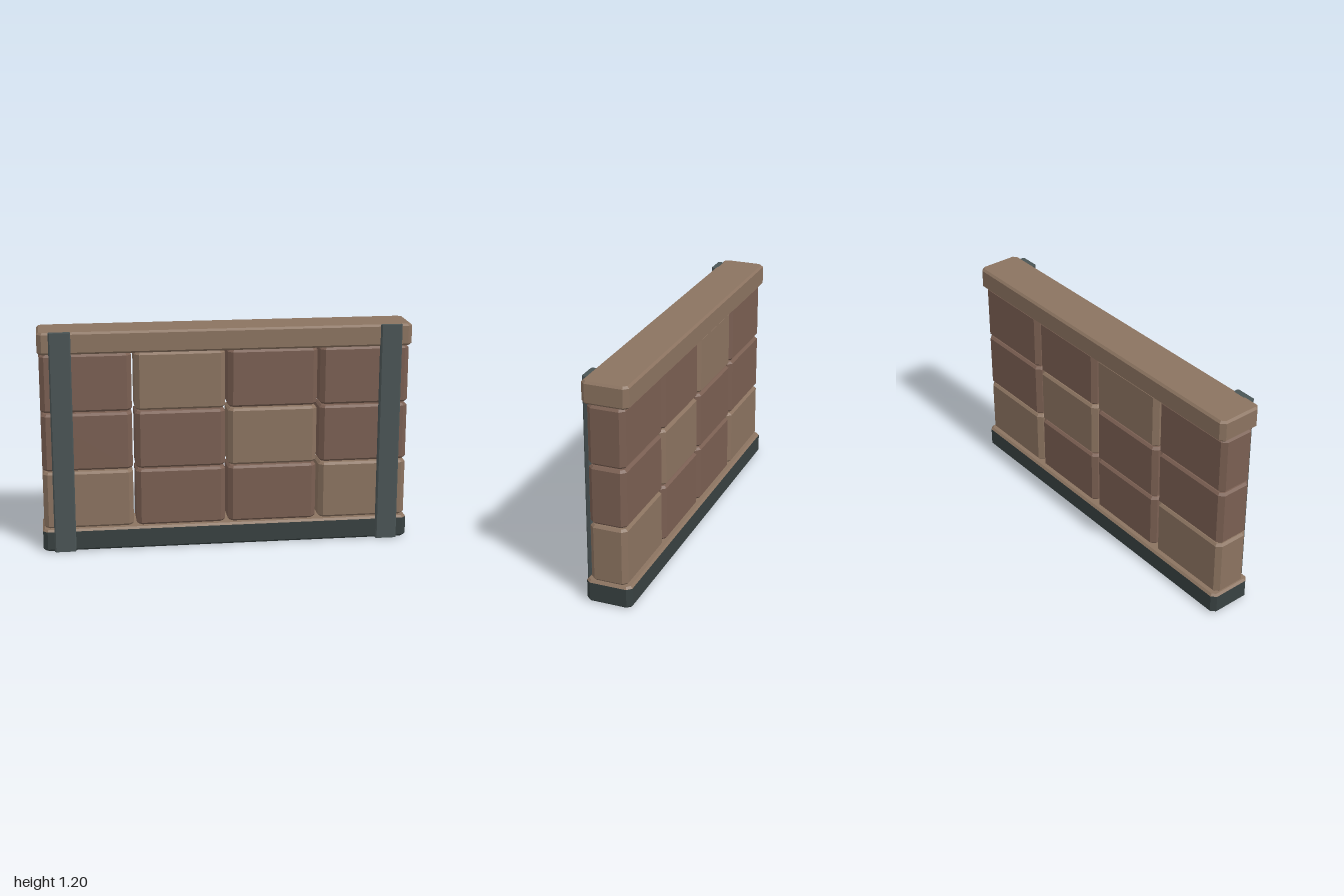
import * as THREE from 'three';

const paint = (color) => new THREE.MeshStandardMaterial({ color, flatShading: true });

// Upright slab standing on y = 0: corners cut in plan, optional bevel along top and bottom
function slab(w, h, d, cut, bevel) {
  const x = w / 2, z = d / 2;
  const plan = new THREE.Shape([
    [x, -z + cut], [x, z - cut], [x - cut, z], [-x + cut, z],
    [-x, z - cut], [-x, -z + cut], [-x + cut, -z], [x - cut, -z],
  ].map(([a, b]) => new THREE.Vector2(a, b)));
  const geo = new THREE.ExtrudeGeometry(plan, {
    depth: h - 2 * bevel, bevelEnabled: bevel > 0,
    bevelThickness: bevel, bevelSize: bevel, bevelOffset: -bevel, bevelSegments: 1,
  });
  geo.translate(0, 0, bevel);
  geo.rotateX(-Math.PI / 2);
  return geo;
}

// Keeps the upward-facing triangles of a slab, or all the others
function pickFaces(geo, upward) {
  const pos = geo.attributes.position, kept = [];
  const tri = new THREE.Triangle(), n = new THREE.Vector3();
  for (let i = 0; i < pos.count; i += 3) {
    tri.setFromAttributeAndIndices(pos, i, i + 1, i + 2);
    tri.getNormal(n);
    if ((n.y > 0.3) === upward) kept.push(tri.a.clone(), tri.b.clone(), tri.c.clone());
  }
  const out = new THREE.BufferGeometry().setFromPoints(kept);
  out.computeVertexNormals();
  return out;
}

export function createModel() {
  const model = new THREE.Group();
  model.name = 'blockWall';
  const lightBrown = paint(0x8b7360), darkBrown = paint(0x7a5f52);
  const steel = paint(0x4a5455), darkSteel = paint(0x384141);

  const add = (name, geo, mat, x, y, z, parent = model) => {
    const mesh = new THREE.Mesh(geo, mat);
    mesh.name = name;
    mesh.position.set(x, y, z);
    parent.add(mesh);
    return mesh;
  };

  // Base plinth with a brown upper ledge, and the matching cap beam
  const zMid = -0.006;
  const plinth = slab(2, 0.12, 0.248, 0.024, 0.011);
  add('base', pickFaces(plinth, false), darkSteel, 0, 0, zMid);
  add('baseLedge', pickFaces(plinth, true), lightBrown, 0, 0, zMid);
  add('capBeam', slab(2, 0.118, 0.248, 0.024, 0.011), lightBrown, 0, 1.082, zMid);

  // Three courses of four blocks, some lighter
  const courses = ['LDDL', 'DDLD', 'DLDD'];
  const blocks = new THREE.Group();
  blocks.name = 'blocks';
  model.add(blocks);
  const blockGeo = slab(0.484, 0.313, 0.2, 0.025, 0.012);
  courses.forEach((row, r) => {
    [...row].forEach((tone, c) => {
      add(`block${r + 1}_${c + 1}`, blockGeo, tone === 'L' ? lightBrown : darkBrown,
        -0.75 + 0.5 * c, 0.121 + 0.3215 * r, zMid, blocks);
    });
  });

  // Metal straps up the front
  const strapGeo = slab(0.116, 1.2, 0.032, 0.007, 0);
  for (const side of [-1, 1]) {
    add(side > 0 ? 'leftStrap' : 'rightStrap', strapGeo, steel, side * 0.882, 0, 0.117);
  }
  return model;
}
